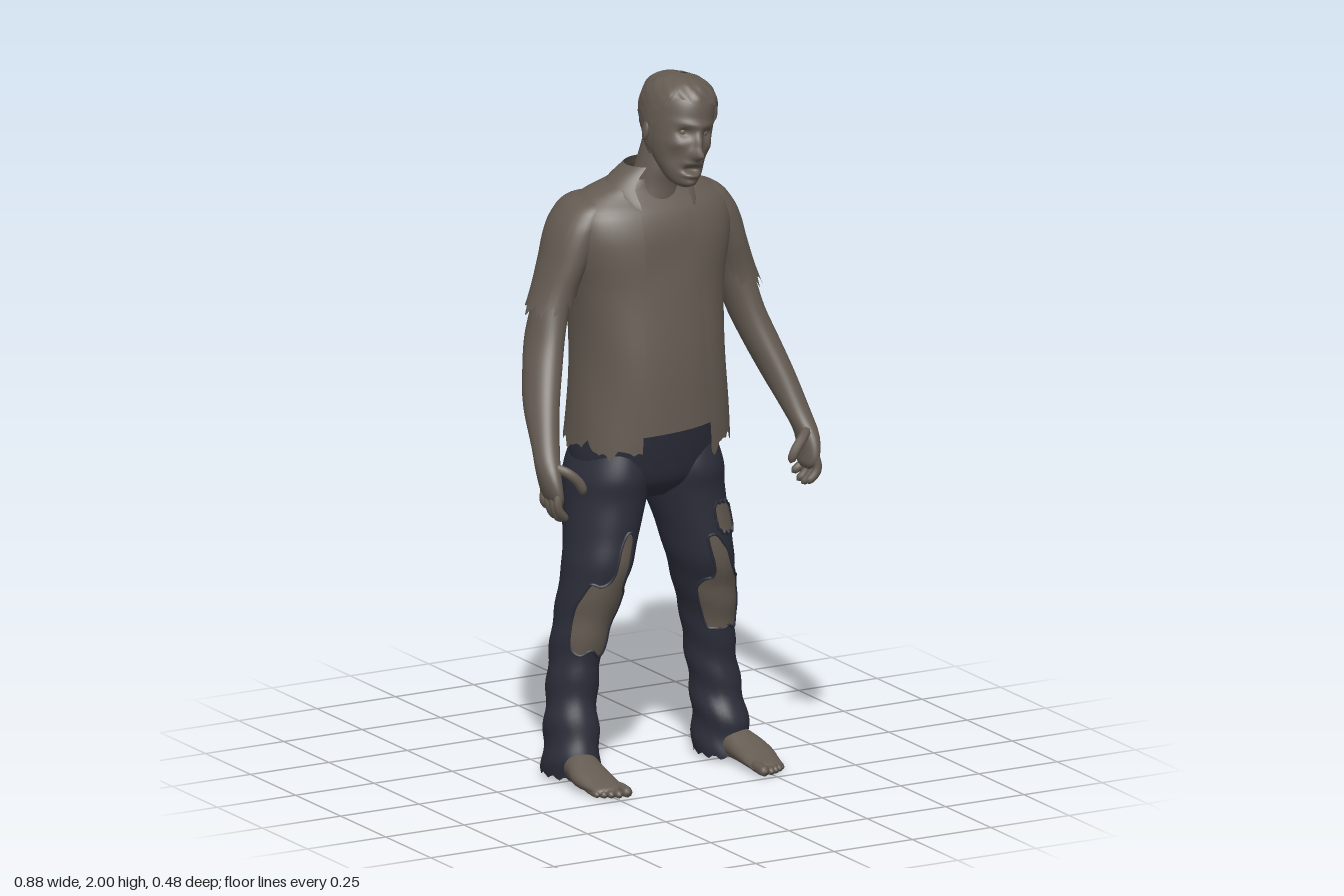
import * as THREE from 'three';
import { mergeVertices } from 'three/addons/utils/BufferGeometryUtils.js';

const brown = new THREE.MeshStandardMaterial({ color: 0x645b52, side: THREE.DoubleSide });
brown.name = 'weathered brown';
const denim = new THREE.MeshStandardMaterial({ color: 0x2c2e3a, side: THREE.DoubleSide });
denim.name = 'dark denim';

const lerp = THREE.MathUtils.lerp;
const V = (x, y, z) => new THREE.Vector3(x, y, z);

// Smooth interpolation of rows [key, ...values] at a given key
function at(rows, y) {
  const n = rows.length;
  let i = 0;
  while (i < n - 2 && y > rows[i + 1][0]) i++;
  const a = rows[i], b = rows[i + 1], p = rows[Math.max(i - 1, 0)], q = rows[Math.min(i + 2, n - 1)];
  const h = b[0] - a[0], t = THREE.MathUtils.clamp((y - a[0]) / h, 0, 1);
  return a.slice(1).map((_, k) => {
    const c = k + 1;
    const m0 = (b[c] - p[c]) / (b[0] - p[0]) * h, m1 = (q[c] - a[c]) / (q[0] - a[0]) * h;
    const t2 = t * t, t3 = t2 * t;
    return (2 * t3 - 3 * t2 + 1) * a[c] + (t3 - 2 * t2 + t) * m0 + (3 * t2 - 2 * t3) * b[c] + (t3 - t2) * m1;
  });
}

// Point on a body of rows [y, centreX, centreZ, radiusX, radiusZ]; angle 0 is the front
function surf(rows, th, y, n = 2, off = 0) {
  const [cx, cz, rx, rz] = at(rows, y);
  const f = v => Math.sign(v) * Math.abs(v) ** (2 / n);
  return V(cx + Math.max(rx + off, 0.001) * f(Math.sin(th)), y, cz + Math.max(rz + off, 0.001) * f(Math.cos(th)));
}

function fromGrid(points, cols, rowsCount) {
  const idx = [];
  for (let j = 0; j < rowsCount; j++) for (let i = 0; i < cols; i++) {
    const a = j * (cols + 1) + i, d = a + cols + 1;
    idx.push(a, a + 1, d + 1, a, d + 1, d);
  }
  const g = new THREE.BufferGeometry().setFromPoints(points);
  g.setIndex(idx);
  return smooth(g);
}

function smooth(g) {
  g.deleteAttribute('uv');
  g.deleteAttribute('normal');
  const m = mergeVertices(g, 1e-5);
  m.computeVertexNormals();
  return m;
}

function loft(rows, o = {}) {
  const { n = 2, seg = 40, rings = 36, jag = () => 0, off = () => 0, edit = () => {} } = o;
  const { a0 = () => 0, a1 = () => Math.PI * 2, y0 = rows[0][0], y1 = rows[rows.length - 1][0] } = o;
  const pts = [];
  for (let j = 0; j <= rings; j++) for (let i = 0; i <= seg; i++) {
    const t = (1 - Math.cos(Math.PI * j / rings)) / 2, yy = lerp(y0, y1, t);
    const th = lerp(a0(yy), a1(yy), i / seg), y = yy + jag(th) * (1 - t);
    const p = surf(rows, th, y, n, off(th, y));
    edit(p);
    pts.push(p);
  }
  return fromGrid(pts, seg, rings);
}

// Round-ended tube through points
function tube(points, r) {
  const curve = new THREE.CatmullRomCurve3(points), N = 14, R = 8;
  const g = new THREE.TubeGeometry(curve, N, r, R), pos = g.attributes.position, v = V(0, 0, 0);
  for (let i = 0; i <= N; i++) {
    const c = curve.getPointAt(i / N), u = i / N;
    const k = Math.max(0.02, Math.min(1, Math.sqrt(Math.max(0, 1 - ((u - 0.45) / 0.55) ** 6))));
    for (let j = 0; j <= R; j++) {
      v.fromBufferAttribute(pos, i * (R + 1) + j).sub(c).multiplyScalar(k).add(c);
      pos.setXYZ(i * (R + 1) + j, v.x, v.y, v.z);
    }
  }
  return smooth(g);
}

export function createModel() {
  const model = new THREE.Group();
  model.name = 'raggedFigure';
  const add = (name, geo, mat = brown, parent = model) => {
    const m = new THREE.Mesh(geo, mat);
    m.name = name;
    parent.add(m);
    return m;
  };
  const rag = (th, k = 1) => k * (0.012 * Math.sin(th * 9 + 1) + 0.008 * Math.sin(th * 23) + 0.005 * Math.sin(th * 37));

  // Open shirt and the vest beneath it
  const shirt = [
    [0.90, 0, -0.045, 0.238, 0.195], [1.0, 0, -0.04, 0.228, 0.195], [1.2, 0, -0.04, 0.215, 0.19],
    [1.4, 0, -0.052, 0.225, 0.178], [1.5, 0, -0.052, 0.245, 0.168], [1.56, 0, -0.05, 0.25, 0.155],
    [1.62, 0, -0.05, 0.235, 0.13], [1.66, 0, -0.055, 0.19, 0.1], [1.69, 0, -0.045, 0.12, 0.08],
    [1.715, 0.01, -0.035, 0.085, 0.072]];
  const edge = (x, y) => Math.asin(Math.min(0.95, (x / at(shirt, y)[2]) ** 1.15));
  add('openShirt', loft(shirt, {
    n: 2.3, seg: 96, rings: 50, y0: 0.925,
    a0: y => edge(lerp(0.105, 0.07, (y - 0.92) / 0.7), y),
    a1: y => Math.PI * 2 - edge(lerp(0.115, 0.085, (y - 0.92) / 0.7), y),
    jag: th => rag(th) + 0.03 * Math.abs(Math.sin(th)),
    off: (th, y) => 0.003 * Math.sin(th * 5 + y * 14) * Math.max(0, 1.5 - y)
  }));
  add('vest', loft(shirt.map(([y, x, z, a, b]) => [y, x, z, a - 0.014, b - 0.014]), {
    n: 2.3, y0: 1.0, y1: 1.7, jag: th => 0.018 * Math.sin(th),
    off: (th, y) => 0.006 * Math.exp(-(((y - 1.48) / 0.06) ** 2)) * Math.cos(th * 4 + Math.PI)
  }));
  const collar = [[1.6, 0, -0.015, 0.132, 0.135], [1.64, 0, -0.02, 0.132, 0.122], [1.68, 0, -0.035, 0.13, 0.093],
    [1.7, 0.005, -0.04, 0.117, 0.086], [1.735, 0.015, -0.035, 0.082, 0.074]];
  add('collar', loft(collar, {
    y0: 1.69, rings: 10, a0: () => 0.62, a1: () => Math.PI * 2 - 0.68,
    jag: th => -0.065 * Math.exp(-(((Math.min(th, Math.PI * 2 - th) - 0.68) / 0.35) ** 2))
  }));

  // Neck
  add('neck', loft([[1.58, 0, -0.03, 0.085, 0.08], [1.68, 0.012, -0.025, 0.068, 0.068],
    [1.74, 0.025, -0.015, 0.062, 0.068], [1.81, 0.04, -0.01, 0.06, 0.06]]));

  // Tilted head; the face is shaped by soft bumps and dents [x, y, width, height, depth]
  const head = new THREE.Group();
  head.name = 'head';
  head.position.set(0.045, 1.848, 0.04);
  head.rotation.z = -0.18;
  model.add(head);
  const skull = [[-0.15, 0, 0.085, 0.012, 0.018], [-0.14, 0, 0.078, 0.035, 0.044], [-0.11, 0, 0.06, 0.056, 0.07],
    [-0.07, 0, 0.035, 0.073, 0.1], [-0.02, 0, 0.015, 0.085, 0.118], [0.04, 0, 0, 0.092, 0.125],
    [0.09, 0, 0, 0.088, 0.116], [0.125, 0, 0, 0.066, 0.09], [0.142, 0, 0, 0.036, 0.052], [0.148, 0, 0, 0.001, 0.001]];
  const face = [[0, -0.05, 0.014, 0.014, 0.033], [0, -0.02, 0.011, 0.03, 0.018], [0, 0.03, 0.05, 0.01, 0.007],
    [0, -0.095, 0.022, 0.009, -0.025], [0, -0.077, 0.025, 0.006, 0.006], [0, -0.112, 0.024, 0.007, 0.012],
    [0, -0.135, 0.02, 0.012, 0.008]];
  for (const s of [1, -1]) face.push([s * 0.035, 0.005, 0.017, 0.013, -0.018],
    [s * 0.05, -0.07, 0.018, 0.025, -0.01], [s * 0.055, -0.03, 0.018, 0.012, 0.006]);
  add('face', loft(skull, {
    seg: 96, rings: 80,
    edit: p => {
      if (p.z < 0.03) return;
      let d = 0;
      for (const [x, y, w, h, k] of face) d += k * Math.exp(-(((p.x - x) / w) ** 2) - ((p.y - y) / h) ** 2);
      p.z += d;
    }
  }), brown, head);
  add('hair', loft(skull, {
    seg: 96, rings: 36, y0: -0.085,
    jag: th => {
      const f = Math.min(th, Math.PI * 2 - th);
      return 0.175 * (1 - THREE.MathUtils.smoothstep(f, 0.7, 1.9)) + rag(th, 0.35);
    },
    off: (th, y) => 0.008 + 0.003 * Math.sin(th * 11 + y * 60) * Math.sin(y * 110 + th * 3)
  }), brown, head).position.y = 0.004;
  for (const s of [1, -1]) {
    const eye = add('eye', new THREE.SphereGeometry(0.012, 16, 12), brown, head);
    eye.position.set(s * 0.034, 0.004, 0.096);
    const ear = add('ear', new THREE.SphereGeometry(0.03, 16, 12), brown, head);
    ear.scale.set(0.35, 1, 0.65);
    ear.position.set(s * 0.092, -0.015, 0.0);
    ear.rotation.y = s * 0.35;
  }

  // Pelvis of the jeans
  add('jeansSeat', loft([[0.785, 0, -0.06, 0.08, 0.07], [0.83, 0, -0.06, 0.18, 0.125],
    [0.9, 0, -0.06, 0.215, 0.152], [1.03, 0, -0.045, 0.208, 0.165]], { n: 2.2 }), denim);

  for (const s of [1, -1]) {
    const side = s > 0 ? 'left' : 'right';
    const flip = rows => rows.map(([y, x, ...r]) => [y, s * x, ...r]);

    // Torn short sleeve
    add(side + 'Sleeve', loft(flip([[1.32, 0.308, -0.06, 0.068, 0.078], [1.4, 0.283, -0.063, 0.06, 0.08],
      [1.48, 0.253, -0.065, 0.062, 0.092], [1.55, 0.225, -0.068, 0.07, 0.1], [1.6, 0.2, -0.07, 0.07, 0.1],
      [1.645, 0.17, -0.07, 0.055, 0.08], [1.668, 0.14, -0.07, 0.01, 0.02]]),
    { y0: 1.365, seg: 64, jag: th => rag(th, 1.1) - 0.015 * s * Math.sin(th) }));

    // Bare arm and palm
    add(side + 'Arm', loft(flip([[0.845, 0.4, 0.145, 0.006, 0.025], [0.86, 0.403, 0.146, 0.018, 0.045],
      [0.89, 0.41, 0.145, 0.024, 0.051], [0.94, 0.412, 0.13, 0.03, 0.049], [0.99, 0.402, 0.1, 0.036, 0.045],
      [1.1, 0.375, 0.027, 0.045, 0.066], [1.2, 0.343, -0.022, 0.05, 0.07], [1.27, 0.32, -0.05, 0.05, 0.072],
      [1.36, 0.295, -0.06, 0.05, 0.062], [1.45, 0.265, -0.065, 0.045, 0.06]])));

    // Curled fingers and thumb
    [0.106, 0.132, 0.158, 0.182].forEach((z, i) => {
      const tip = [0.822, 0.806, 0.803, 0.81][i];
      add(side + 'Finger', tube([V(s * 0.408, 0.895, z), V(s * 0.414, 0.85, z + 0.006),
        V(s * 0.402, tip + 0.018, z + 0.004), V(s * 0.38, tip, z - 0.002)], 0.013));
    });
    add(side + 'Thumb', tube([V(s * 0.408, 0.955, 0.145), V(s * 0.375, 0.94, 0.175),
      V(s * 0.345, 0.91, 0.186), V(s * 0.328, 0.875, 0.186)], 0.0145));

    // Trouser leg with soft wrinkles
    const leg = flip([[0.006, 0.24, -0.045, 0.075, 0.096], [0.1, 0.237, -0.046, 0.073, 0.094],
      [0.2, 0.23, -0.06, 0.069, 0.081], [0.3, 0.218, -0.068, 0.068, 0.083], [0.4, 0.205, -0.064, 0.07, 0.09],
      [0.5, 0.185, -0.05, 0.08, 0.1], [0.6, 0.163, -0.034, 0.092, 0.113], [0.7, 0.143, -0.045, 0.1, 0.125],
      [0.8, 0.123, -0.06, 0.111, 0.14], [0.86, 0.118, -0.06, 0.111, 0.148], [0.95, 0.11, -0.06, 0.09, 0.13]]);
    const wrinkle = (th, y) => 0.0045 * Math.sin(y * 55 + 2 * Math.sin(th + s)) * Math.max(0, 1 - y / 0.8);
    add(side + 'TrouserLeg', loft(leg, { seg: 48, rings: 70, off: wrinkle, jag: th => 0.006 * (1 + Math.sin(th * 13)) }), denim);

    // Torn openings showing skin, each with a frayed rim; outlines are [angle, height]
    const tear = (outline) => {
      const c = new THREE.CatmullRomCurve3(outline.map(([a, y]) => V(s * a, y, 0)), true);
      const N = 56, mid = V(0, 0, 0), pts = [], rim = [];
      outline.forEach(([a, y]) => mid.add(V(s * a, y, 0).divideScalar(outline.length)));
      for (let j = 0; j <= 8; j++) for (let i = 0; i <= N; i++) {
        const e = c.getPoint((s > 0 ? N - i : i) / N % 1);
        e.y += 0.004 * Math.sin(i * Math.PI * 2 / N * 13);
        const q = mid.clone().lerp(e, 1 - j / 8);
        const p = surf(leg, q.x, q.y, 2, wrinkle(q.x, q.y) + 0.005);
        pts.push(p);
        if (j === 0 && i < N) rim.push(p);
      }
      add(side + 'TornSkin', fromGrid(pts, N, 8));
      add(side + 'FrayedRim', new THREE.TubeGeometry(new THREE.CatmullRomCurve3(rim, true), 112, 0.0045, 5, true), denim);
    };
    if (s > 0) {
      tear([[-0.75, 0.42], [0.1, 0.385], [0.85, 0.41], [1.0, 0.5], [0.5, 0.56], [0.25, 0.64], [-0.25, 0.655], [-0.2, 0.57], [-0.8, 0.5]]);
      tear([[0.1, 0.7], [0.4, 0.67], [0.85, 0.69], [0.8, 0.73], [0.4, 0.76], [0.1, 0.74]]);
    } else {
      tear([[-0.7, 0.39], [0.1, 0.37], [0.9, 0.39], [1.0, 0.47], [0.75, 0.56], [0.1, 0.59], [0.02, 0.68], [-0.35, 0.69], [-0.4, 0.58], [-0.75, 0.5]]);
    }

    // Bare foot, lofted from heel to toes
    const foot = loft(flip([[-0.12, 0.237, -0.03, 0.01, 0.012], [-0.1, 0.237, -0.034, 0.035, 0.03],
      [-0.05, 0.24, -0.045, 0.047, 0.043], [0.03, 0.25, -0.047, 0.05, 0.044], [0.1, 0.259, -0.034, 0.057, 0.033],
      [0.17, 0.254, -0.021, 0.051, 0.02], [0.205, 0.25, -0.016, 0.042, 0.014], [0.215, 0.25, -0.015, 0.01, 0.005]]));
    foot.rotateX(Math.PI / 2);
    add(side + 'Foot', foot);
    [[0.219, 0.245, 0.016], [0.243, 0.24, 0.012], [0.262, 0.23, 0.0115], [0.279, 0.219, 0.011], [0.294, 0.205, 0.0105]]
      .forEach(([x, z, r]) => add(side + 'Toe', tube([V(s * x, r + 0.006, z - 0.065), V(s * x, r + 0.003, z - 0.03), V(s * x, r, z)], r)));
  }
  return model;
}
